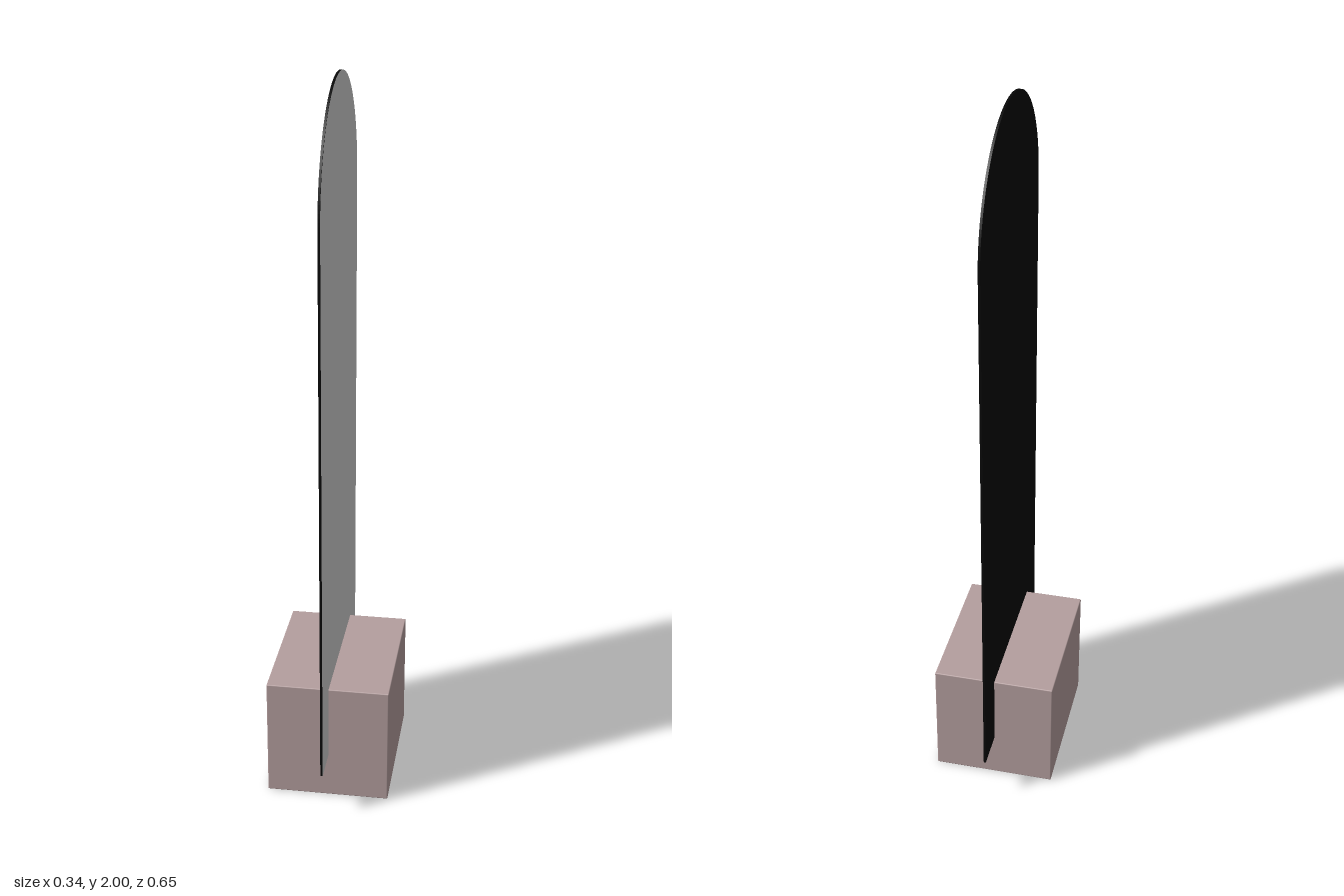
import * as THREE from 'three';
import { RoundedBoxGeometry } from 'three/addons/geometries/RoundedBoxGeometry.js';

const HALF_WIDTH = 0.324, BOTTOM = 0.135, TOP = 2, THICKNESS = 0.006;

// Upright panel outline with a semicircular top
function panelShape() {
  const shape = new THREE.Shape();
  shape.moveTo(-HALF_WIDTH, BOTTOM);
  shape.lineTo(HALF_WIDTH, BOTTOM);
  shape.lineTo(HALF_WIDTH, TOP - HALF_WIDTH);
  shape.absarc(0, TOP - HALF_WIDTH, HALF_WIDTH, 0, Math.PI, false);
  shape.closePath();
  return shape;
}

export function createModel() {
  const wood = new THREE.MeshStandardMaterial({ name: 'dusty pink', color: 0xb49e9e });
  const black = new THREE.MeshStandardMaterial({ name: 'black', color: 0x080808 });
  const grey = new THREE.MeshStandardMaterial({ name: 'light grey', color: 0xcccccc });

  const model = new THREE.Group();
  model.name = 'panelOnBlock';
  const add = (name, geometry, material) => {
    const mesh = new THREE.Mesh(geometry, material);
    mesh.name = name;
    model.add(mesh);
    return mesh;
  };

  // Base block with barely softened edges
  add('base', new RoundedBoxGeometry(0.344, 0.345, 0.432, 2, 0.003), wood).position.y = 0.1725;

  // Thin black panel running through the block, front to back
  const body = new THREE.ExtrudeGeometry(panelShape(), {
    depth: THICKNESS, bevelEnabled: false, curveSegments: 48,
  });
  body.translate(0, 0, -THICKNESS / 2).rotateY(Math.PI / 2);
  add('panel', body, black);

  // Light grey face on the panel's left side
  const face = new THREE.ShapeGeometry(panelShape(), 48);
  face.translate(0, 0, THICKNESS / 2 + 0.0006).rotateY(Math.PI / 2);
  add('panelFace', face, grey);

  return model;
}
